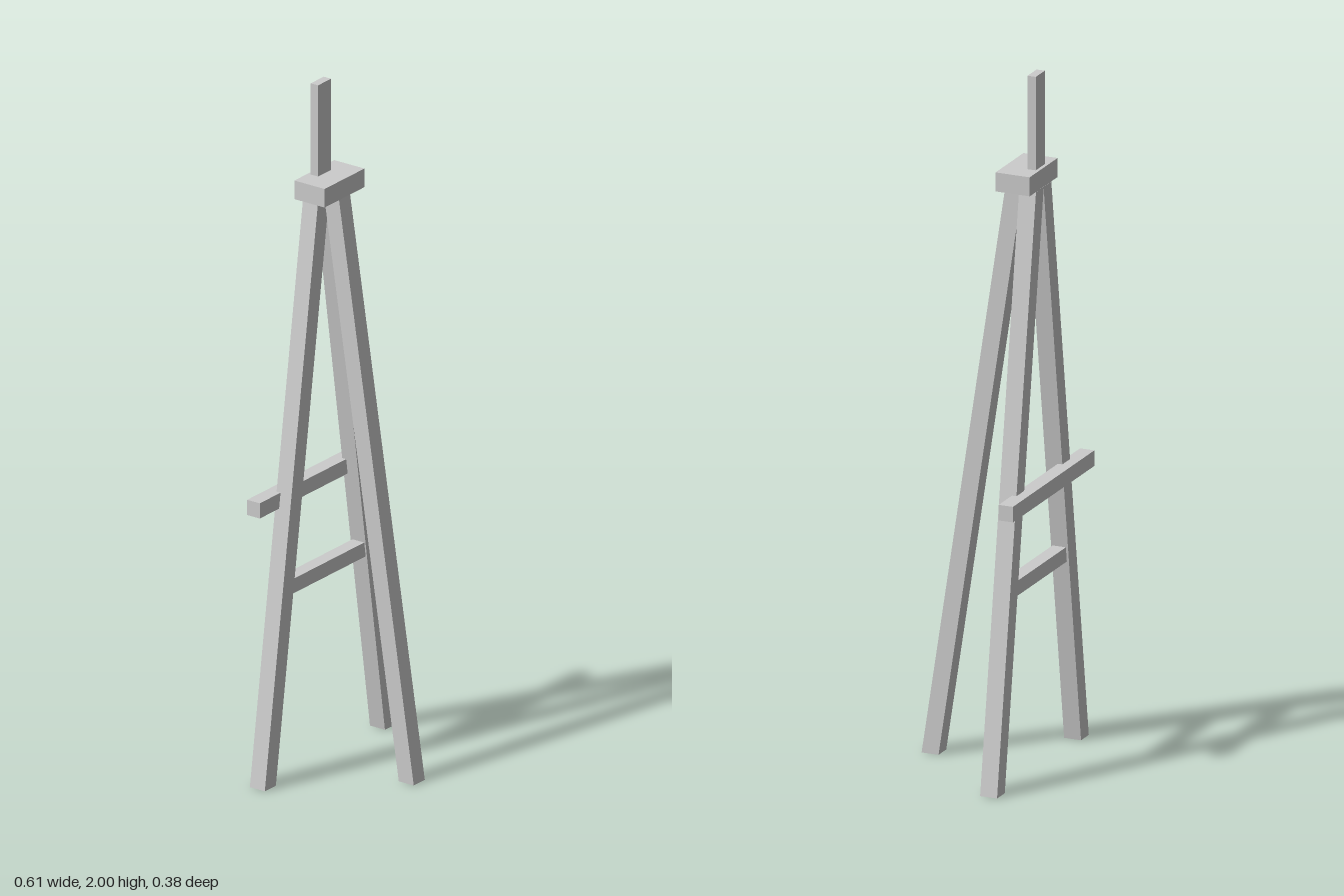
import * as THREE from 'three';

const material = new THREE.MeshStandardMaterial({ color: 0xcccccc, flatShading: true });

// Box given by its [min, max] range on each axis
function bar(name, [x0, x1], [y0, y1], [z0, z1]) {
  const geometry = new THREE.BoxGeometry(x1 - x0, y1 - y0, z1 - z0);
  geometry.translate((x0 + x1) / 2, (y0 + y1) / 2, (z0 + z1) / 2);
  const mesh = new THREE.Mesh(geometry, material);
  mesh.name = name;
  return mesh;
}

// Square leg sheared between two [x, z] centres, with level ends
function leg(name, foot, top, height = 1.675, size = 0.051) {
  const geometry = new THREE.BoxGeometry(size, height, size);
  geometry.translate(0, height / 2, 0);
  const p = geometry.attributes.position;
  for (let i = 0; i < p.count; i++) {
    const t = p.getY(i) / height;
    p.setX(i, p.getX(i) + THREE.MathUtils.lerp(foot[0], top[0], t));
    p.setZ(i, p.getZ(i) + THREE.MathUtils.lerp(foot[1], top[1], t));
  }
  geometry.computeVertexNormals();
  const mesh = new THREE.Mesh(geometry, material);
  mesh.name = name;
  return mesh;
}

export function createModel() {
  const group = new THREE.Group();
  group.name = 'easel';

  // Tripod legs
  group.add(
    leg('leftLeg', [0.277, -0.138], [0.02, -0.138]),
    leg('rightLeg', [-0.277, -0.138], [-0.03, -0.138]),
    leg('frontLeg', [0, 0.165], [-0.005, -0.086])
  );

  // Head block and mast
  group.add(
    bar('headBlock', [-0.098, 0.086], [1.675, 1.73], [-0.163, -0.06]),
    bar('mast', [-0.036, 0.024], [1.73, 2], [-0.153, -0.128])
  );

  // Canvas ledge and lower brace
  group.add(
    bar('canvasLedge', [-0.275, 0.262], [0.79, 0.835], [-0.193, -0.15]),
    bar('lowerBrace', [-0.19, 0.186], [0.54, 0.583], [-0.157, -0.117])
  );
  return group;
}
